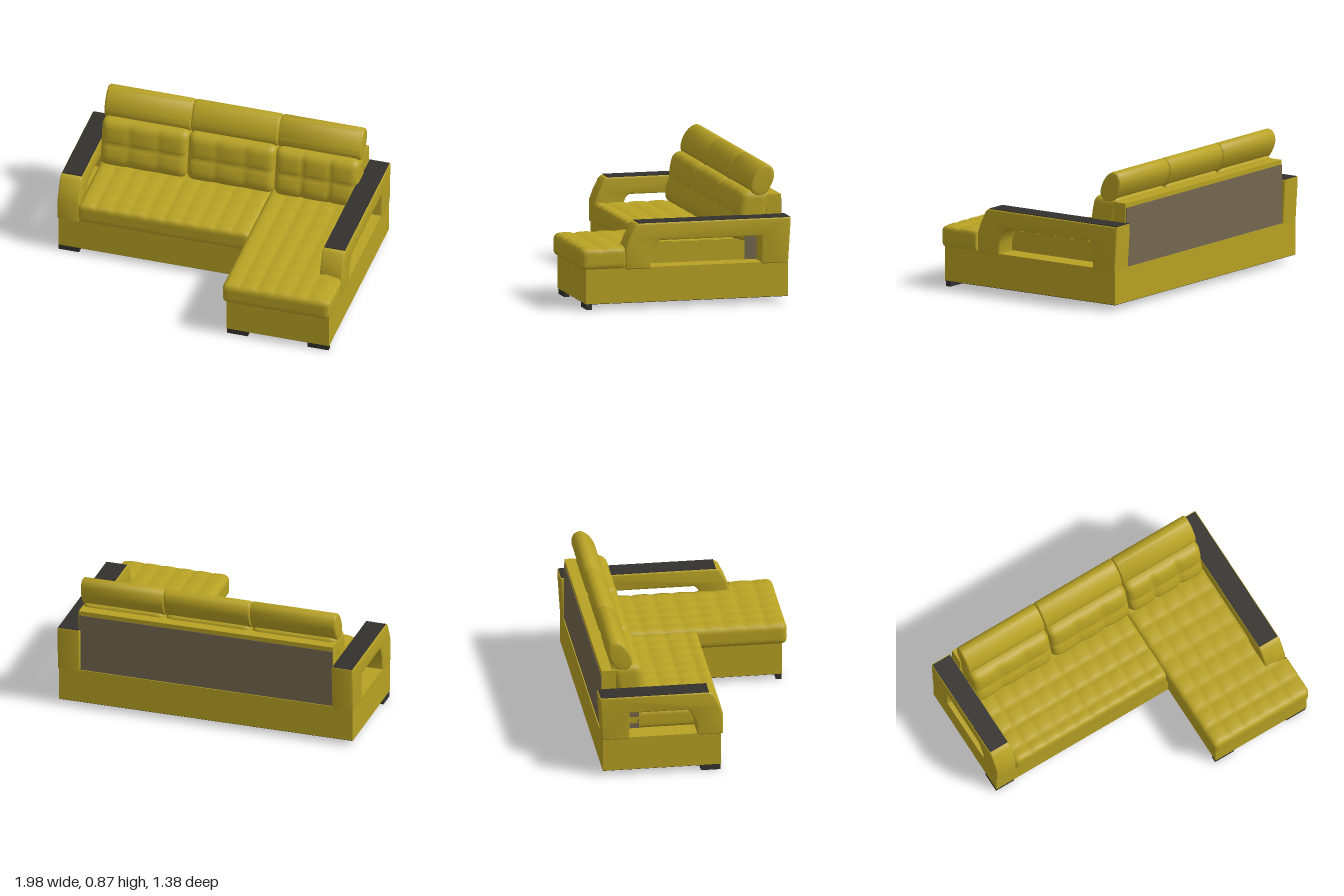
import * as THREE from 'three';
import { mergeVertices, toCreasedNormals } from 'three/addons/utils/BufferGeometryUtils.js';

const fabric = new THREE.MeshStandardMaterial({ color: 0xb8a224 });
fabric.name = 'mustard fabric';
const dark = new THREE.MeshStandardMaterial({ color: 0x33312d });
dark.name = 'dark wood';
const lining = new THREE.MeshStandardMaterial({ color: 0x74674f });
lining.name = 'brown lining';

export function createModel() {
  const sofa = new THREE.Group();
  sofa.name = 'cornerSofa';

  function add(name, geometry, material) {
    const mesh = new THREE.Mesh(geometry, material);
    mesh.name = name;
    sofa.add(mesh);
    return mesh;
  }

  // Plain block given by its limits
  function block(name, [x0, x1], [y0, y1], [z0, z1], material) {
    const g = new THREE.BoxGeometry(x1 - x0, y1 - y0, z1 - z0);
    g.translate((x0 + x1) / 2, (y0 + y1) / 2, (z0 + z1) / 2);
    return add(name, g, material);
  }

  // Side profile of [z, y] points drawn out along x, with a soft bevel
  function sideExtrude(name, points, x0, x1, bevel, crease) {
    const shape = new THREE.Shape(points.map(([z, y]) => new THREE.Vector2(-z, y)));
    const g = new THREE.ExtrudeGeometry(shape, {
      depth: x1 - x0 - 2 * bevel, bevelThickness: bevel, bevelSize: bevel,
      bevelOffset: -bevel, bevelSegments: 3,
    });
    g.rotateY(Math.PI / 2);
    g.translate(x0 + bevel, 0, 0);
    return add(name, toCreasedNormals(g, crease), fabric);
  }

  // Rounded, finely divided box whose vertices are then moved by a rule
  function cushion(name, xs, ys, zs, radius, deform) {
    const size = [xs, ys, zs].map(([a, b]) => b - a);
    const mid = [xs, ys, zs].map(([a, b]) => (a + b) / 2);
    let g = new THREE.BoxGeometry(...size, ...size.map((s) => Math.ceil(s / 0.017)));
    g.deleteAttribute('uv');
    g.deleteAttribute('normal');
    g = mergeVertices(g);
    const pos = g.attributes.position;
    const limit = new THREE.Vector3(...size).multiplyScalar(0.5).subScalar(radius);
    const low = limit.clone().negate();
    const v = new THREE.Vector3();
    for (let i = 0; i < pos.count; i++) {
      v.fromBufferAttribute(pos, i);
      const core = v.clone().clamp(low, limit);
      const out = v.clone().sub(core);
      if (out.lengthSq() > 0) out.setLength(radius);
      v.copy(core).add(out).add(new THREE.Vector3(...mid));
      deform(v);
      pos.setXYZ(i, v.x, v.y, v.z);
    }
    g.computeVertexNormals();
    return add(name, g, fabric);
  }

  // 1 on the crown of a tuft, 0 on the stitched seams
  const tuft = (a, b) => Math.pow(Math.abs(Math.sin(Math.PI * a) * Math.sin(Math.PI * b)), 0.35);

  // L-shaped base with dark underside
  function lShape(inset) {
    const corners = [[-0.985, 0.67], [0.98, 0.67], [0.98, -0.66], [0.3, -0.66], [0.3, -0.09], [-0.985, -0.09]];
    const c = new THREE.Shape(corners.map(([x, y], i) =>
      new THREE.Vector2(x + (i === 0 || i > 2 ? inset : -inset), y + (i < 2 ? -inset : inset))));
    return c;
  }
  function slab(name, inset, y0, y1, material) {
    const g = new THREE.ExtrudeGeometry(lShape(inset), { depth: y1 - y0, bevelEnabled: false });
    g.rotateX(-Math.PI / 2);
    g.translate(0, y0, 0);
    add(name, g, material);
  }
  slab('base', 0, 0.037, 0.26, fabric);
  slab('underside', 0.003, 0.034, 0.038, dark);

  // Feet under the front edges
  block('cornerFoot', [-0.985, -0.85], [0, 0.036], [-0.04, 0.085], dark);
  block('innerChaiseFoot', [0.3, 0.44], [0, 0.036], [0.62, 0.655], dark);
  block('outerChaiseFoot', [0.835, 0.975], [0, 0.036], [0.62, 0.655], dark);

  // Tufted seats
  const seatTuft = (y0, y1) => (v) => {
    const t = Math.max(0, (v.y - y0) / (y1 - y0));
    v.y -= 0.013 * t * t * (1 - tuft((v.x + 0.85) / 0.113, (v.z + 0.5) / 0.132));
  };
  const mainTuft = seatTuft(0.25, 0.39);
  cushion('mainSeat', [-0.855, 0.287], [0.25, 0.39], [-0.52, 0.112], 0.032, mainTuft);
  const chaiseTuft = seatTuft(0.25, 0.398);
  cushion('chaiseSeat', [0.275, 0.99], [0.25, 0.398], [-0.52, 0.69], 0.035, (v) => {
    chaiseTuft(v);
    if (v.z < 0.4) v.x = Math.min(v.x, 0.838); // narrower beside the arm
  });

  // Arms with an open window and a dark top
  function arm(name, x0, x1, front) {
    sideExtrude(name, [
      [front, 0.25], [front, 0.39], [front - 0.025, 0.455], [front - 0.06, 0.525],
      [front - 0.075, 0.539], [front - 0.1, 0.544], [-0.688, 0.544], [-0.688, 0.5],
      [-0.672, 0.25], [-0.497, 0.25], [-0.497, 0.43], [front - 0.23, 0.43],
      [front - 0.21, 0.415], [front - 0.17, 0.335], [front - 0.165, 0.25],
    ], x0, x1, 0.01, 0.6);
    block(name + 'Top', [x0 + 0.006, x1 - 0.006], [0.54, 0.547], [-0.683, front - 0.09], dark);
  }
  arm('rightArm', -0.99, -0.847, 0.102);
  arm('leftArm', 0.838, 0.987, 0.4);

  // Backrest frame with lining
  block('backFrame', [-0.85, 0.85], [0.25, 0.672], [-0.66, -0.565], fabric);
  block('backLining', [-0.848, 0.848], [0.255, 0.643], [-0.664, -0.658], lining);
  for (const x of [-0.852, 0.852]) {
    block('sideLining', [x - 0.003, x + 0.003], [0.262, 0.52], [-0.6, -0.42], lining);
  }

  // Back cushions and headrests, three across
  const headProfile = new THREE.CatmullRomCurve3([
    [-0.461, 0.71], [-0.47, 0.77], [-0.51, 0.835], [-0.56, 0.865], [-0.6, 0.85],
    [-0.618, 0.8], [-0.6, 0.735], [-0.555, 0.675], [-0.49, 0.67],
  ].map(([z, y]) => new THREE.Vector3(z, y, 0)), true).getPoints(40).slice(0, -1).map((p) => [p.x, p.y]);
  const splits = [-0.85, -0.275, 0.303, 0.855];
  for (let i = 0; i < 3; i++) {
    const x0 = splits[i];
    const x1 = splits[i + 1];
    cushion('backCushion', [x0, x1], [0.375, 0.7], [-0.55, -0.35], 0.045, (v) => {
      const t = Math.max(0, (v.z + 0.55) / 0.2);
      v.z -= 0.016 * t * t * (1 - tuft((v.x - x0) / (x1 - x0) * 3, (v.y - 0.375) / 0.163));
      v.z -= 0.2 * Math.max(0, v.y - 0.45);
    });
    sideExtrude('headrest', headProfile, x0 + 0.001, x1 - 0.001, 0.014, 0.9);
  }
  return sofa;
}
